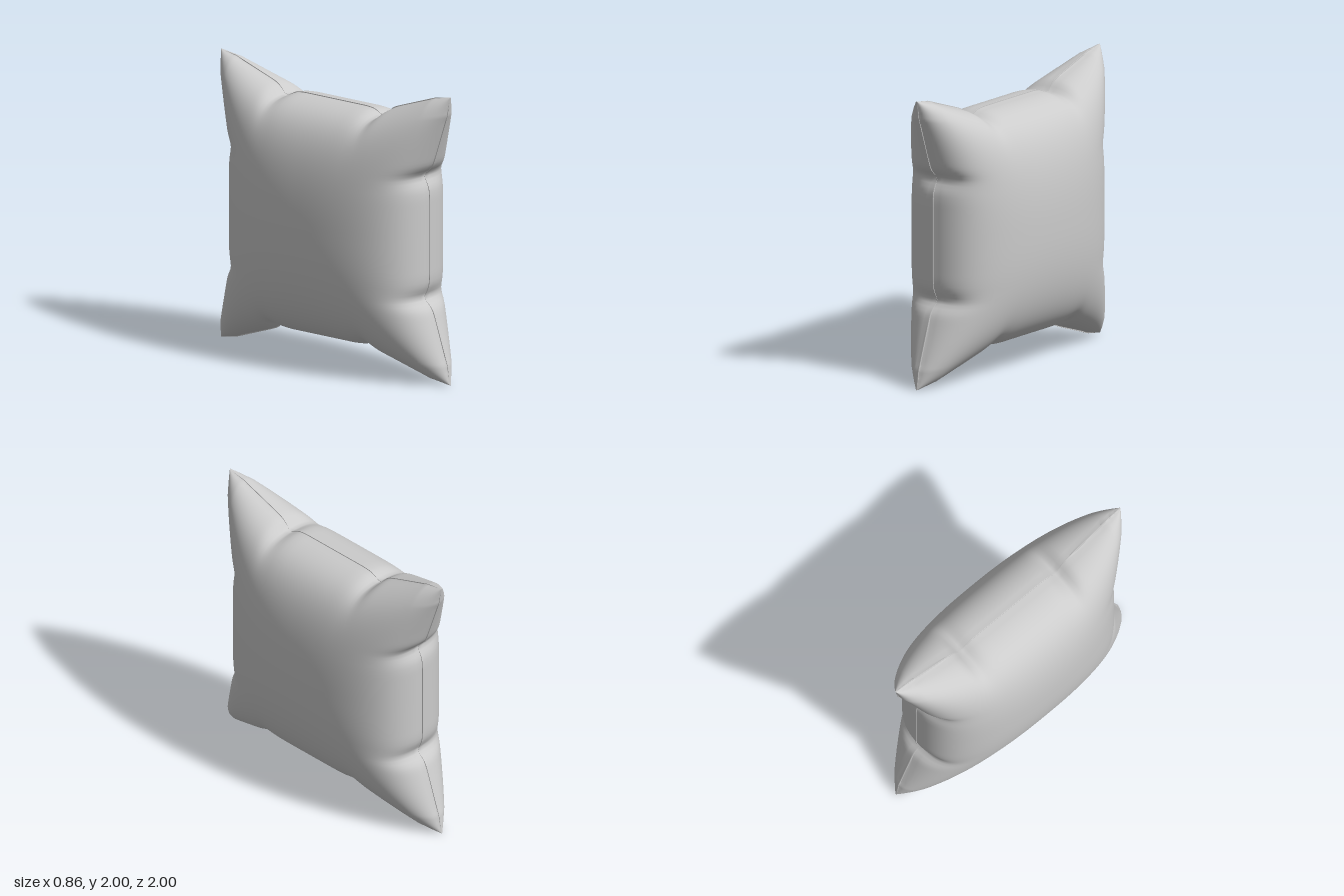
import * as THREE from 'three';

const SEGMENTS = 110;
const HALF_DEPTH = 0.425;
const LIP_WIDTH = 0.015;
const LIP = 0.004;

// Seam distance from the centre along one side: straight middle, corners drawn out
const SEAM = [[0, 0.825], [0.27, 0.825], [0.36, 0.818], [0.5, 0.853], [0.87, 0.98], [1, 1]];
function seam(t) {
  const i = Math.max(1, SEAM.findIndex(([x]) => t <= x));
  const [x0, y0] = SEAM[i - 1], [x1, y1] = SEAM[i];
  return y0 + (y1 - y0) * (t - x0) / (x1 - x0);
}

// Pucker where each corner lobe meets the straight part of a side
const pucker = (t) => Math.exp(-(((t - 0.425) / 0.05) ** 2));

// Pulls a grid coordinate in towards the seam line
function pull(a, b) {
  const m = Math.abs(a), t = Math.min(1, Math.abs(b));
  return a * (1 - (1 - seam(t)) * m ** 2 - 0.055 * pucker(t) * m ** 7);
}

// Rounded cross-section that ends at the lip; the lip fades out at the corner tips
function bulge(t, across) {
  const end = 1 - LIP_WIDTH * (1 - across ** 6);
  return Math.sqrt(1 - Math.min(1, t / end) ** 2.3);
}

// Inflated height, with fuller corner lobes and small dents at the puckers
function puff(u, v) {
  const a = Math.abs(u), b = Math.abs(v);
  const lobe = 1 + 0.45 * (a * b) ** 2;
  const dent = 1 - 0.15 * (pucker(a) * b ** 10 + pucker(b) * a ** 10);
  const rim = Math.max(a, b) > 0.9999 ? 0 : LIP;
  return HALF_DEPTH * bulge(a, b) * bulge(b, a) * lobe * dent + rim;
}

function createHalf() {
  const geometry = new THREE.PlaneGeometry(2, 2, SEGMENTS, SEGMENTS);
  const p = geometry.attributes.position;
  for (let i = 0; i < p.count; i++) {
    // sine spacing packs rows close to the seam
    const u = Math.sin(p.getX(i) * Math.PI / 2);
    const v = Math.sin(p.getY(i) * Math.PI / 2);
    p.setXYZ(i, pull(u, v), pull(v, u), puff(u, v));
  }
  geometry.computeVertexNormals();
  return geometry;
}

export function createModel() {
  const cushion = new THREE.Group();
  cushion.name = 'cushion';
  const geometry = createHalf();
  const material = new THREE.MeshStandardMaterial({ color: 0xcccccc, side: THREE.DoubleSide });

  // Two equal fabric panels meeting at the seam
  for (const side of [1, -1]) {
    const panel = new THREE.Mesh(geometry, material);
    panel.name = side > 0 ? 'leftPanel' : 'rightPanel';
    panel.rotation.y = side * Math.PI / 2;
    panel.position.y = 1;
    cushion.add(panel);
  }
  return cushion;
}
